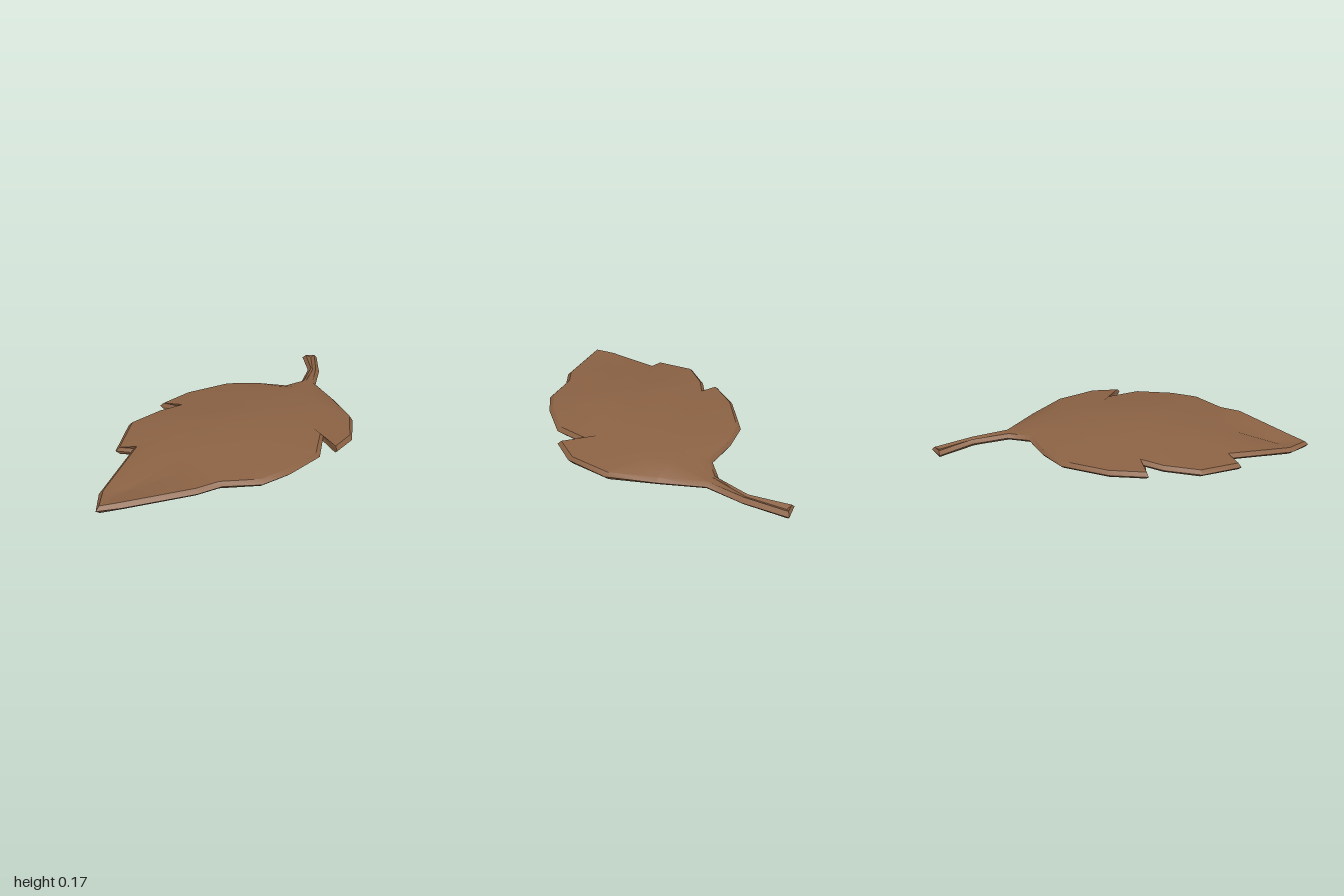
import * as THREE from 'three';
import { toCreasedNormals } from 'three/addons/utils/BufferGeometryUtils.js';

// midrib from stalk end to leaf tip: x, z, height of top face
const RIB = [
  [0.94, -0.91, 0.048], [0.87, -0.66, 0.048], [0.74, -0.40, 0.065], [0.55, -0.18, 0.12],
  [0.35, 0.05, 0.15], [0, 0.30, 0.175], [-0.45, 0.57, 0.125], [-0.80, 0.76, 0.048],
];

// serrated outline, counterclockwise from above: x, z, top height, midrib point it runs to
const OUTLINE = [
  [0.88, -0.95, 0.06, 0], [0.84, -0.69, 0.06, 1], [0.71, -0.47, 0.065, 2], [0.55, -0.40, 0.075, 3],
  [0.32, -0.48, 0.08, 3], [0.10, -0.515, 0.085, 4], [-0.24, -0.40, 0.095, 4], [-0.455, -0.25, 0.10, 4],
  [-0.32, -0.18, 0.115, 5], [-0.49, -0.13, 0.11, 5], [-0.71, 0, 0.105, 5], [-0.83, 0.29, 0.08, 5],
  [-0.71, 0.31, 0.095, 6], [-0.97, 0.74, 0.06, 7], [-1, 0.915, 0.06, 7], [-0.85, 0.93, 0.07, 7],
  [-0.40, 0.945, 0.11, 6], [-0.24, 0.90, 0.11, 6], [0, 0.935, 0.11, 5], [0.20, 0.86, 0.11, 5],
  [0.45, 0.70, 0.105, 5], [0.56, 0.46, 0.105, 4], [0.59, 0.645, 0.095, 3], [0.75, 0.51, 0.085, 3],
  [0.865, 0.23, 0.075, 3], [0.85, 0.10 - 0.2, 0.07, 3], [0.81, -0.41, 0.06, 2], [0.92, -0.64, 0.06, 1],
  [1, -0.93, 0.06, 0],
];

const THICKNESS = 0.05;
const INSET = 0.028;

// one cross-section from the midrib on top, around the rim, to the midrib below
function section([x, z, y, r]) {
  const rim = new THREE.Vector3(x, y, z);
  const rib = new THREE.Vector3(RIB[r][0], RIB[r][2], RIB[r][1]);
  const edge = rim.clone().lerp(rib, INSET / Math.hypot(rib.x - x, rib.z - z));
  edge.y = y;
  const middle = edge.clone().lerp(rib, 0.5);
  if (r > 2 && r < 7) middle.y += 0.01; // gentle bulge of the blade
  const lower = (p) => new THREE.Vector3(p.x, Math.max(0, p.y - THICKNESS), p.z);
  rim.y -= THICKNESS / 2;
  return [rib, middle, edge, rim, lower(edge), lower(middle), lower(rib)];
}

function leafGeometry() {
  const sections = OUTLINE.map(section);
  const positions = [];
  const triangle = (a, b, c) => {
    if (a.equals(b) || b.equals(c) || c.equals(a)) return;
    for (const p of [a, b, c]) positions.push(p.x, p.y, p.z);
  };
  sections.forEach((a, i) => {
    const b = sections[(i + 1) % sections.length];
    for (let k = 0; k < a.length - 1; k++) {
      triangle(a[k], a[k + 1], b[k + 1]);
      triangle(a[k], b[k + 1], b[k]);
    }
  });
  const geometry = new THREE.BufferGeometry();
  geometry.setAttribute('position', new THREE.Float32BufferAttribute(positions, 3));
  return toCreasedNormals(geometry, 0.5);
}

export function createModel() {
  const group = new THREE.Group();
  group.name = 'dryLeaf';
  const leaf = new THREE.Mesh(leafGeometry(), new THREE.MeshStandardMaterial({ color: 0x8b6244 }));
  leaf.name = 'leafBladeAndStalk';
  group.add(leaf);
  return group;
}
